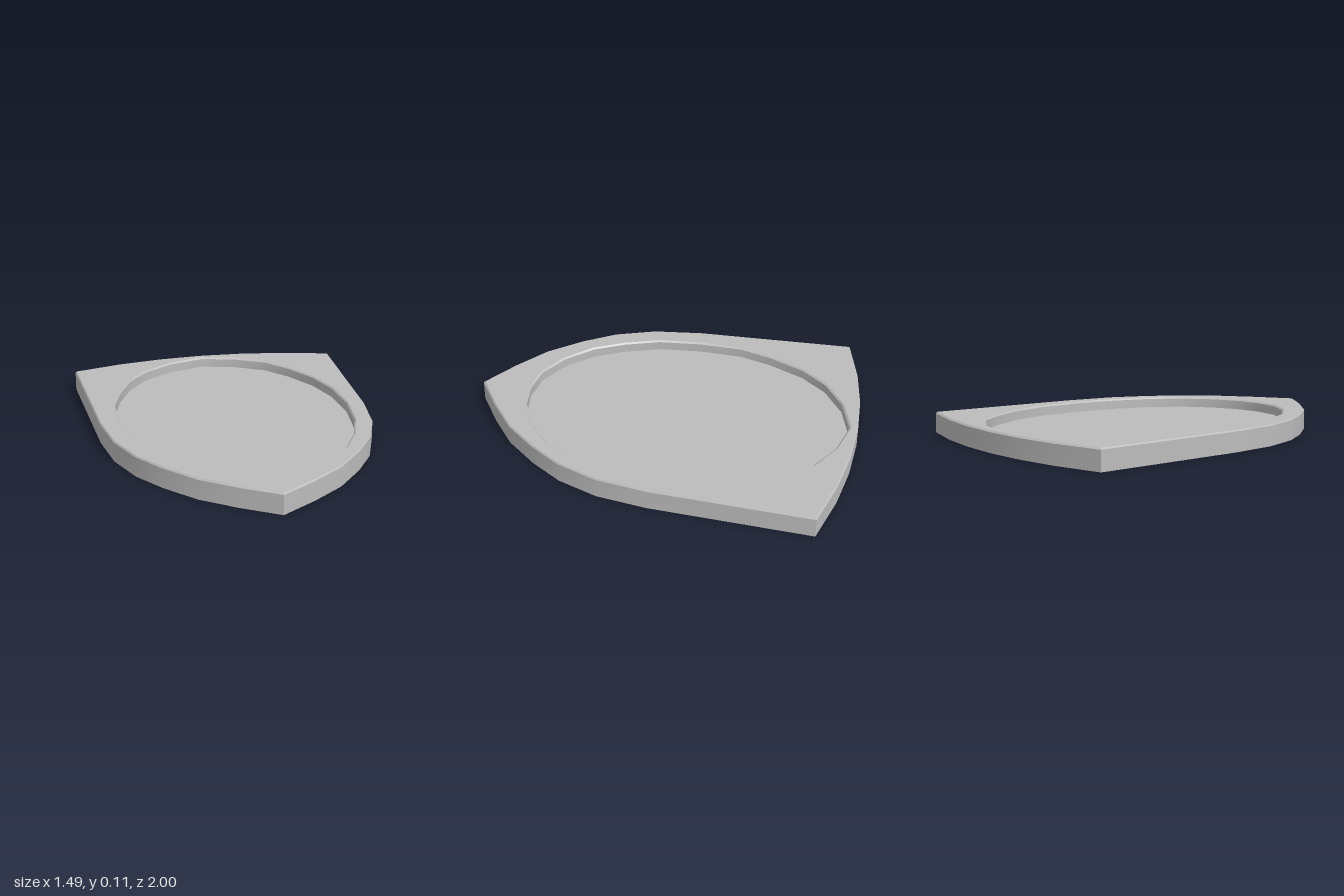
import * as THREE from 'three';
import { toCreasedNormals } from 'three/addons/utils/BufferGeometryUtils.js';

const HEIGHT = 0.11, BEVEL = 0.008, FLOOR = 0.055;

// Half outline of the shield as [x, z], from back centre to front tip
const HALF = [
  [0, -1], [0.24, -0.987], [0.48, -0.95], [0.747, -0.88], [0.712, -0.05], [0.676, 0.21],
  [0.598, 0.42], [0.49, 0.585], [0.35, 0.75], [0.183, 0.88], [0, 1],
];

// Oval recess as [x, z], slightly irregular
const OVAL = [
  [0, -0.955], [0.185, -0.907], [0.35, -0.81], [0.455, -0.675], [0.55, -0.5], [0.605, -0.305],
  [0.62, -0.065], [0.59, 0.17], [0.53, 0.36], [0.44, 0.525], [0.29, 0.65], [0.14, 0.717],
  [0, 0.738], [-0.15, 0.717], [-0.3, 0.635], [-0.43, 0.505], [-0.515, 0.345], [-0.58, 0.165],
  [-0.605, -0.065], [-0.6, -0.295], [-0.55, -0.465], [-0.465, -0.655], [-0.355, -0.79], [-0.195, -0.897],
];

const resize = (points, s, cz = 0) => points.map(([x, z]) => [x * s, cz + (z - cz) * s]);
const toPlane = (points) => points.map(([x, z]) => new THREE.Vector2(x, -z));

// Wall through a stack of closed rings, each { points, y }
function wall(rings) {
  const n = rings[0].points.length, pos = [], index = [];
  for (const { points, y } of rings) for (const [x, z] of points) pos.push(x, y, z);
  for (let j = 0; j < rings.length - 1; j++) {
    for (let i = 0; i < n; i++) {
      const a = j * n + i, b = j * n + (i + 1) % n;
      index.push(a, a + n, b, b, a + n, b + n);
    }
  }
  const geo = new THREE.BufferGeometry();
  geo.setAttribute('position', new THREE.Float32BufferAttribute(pos, 3));
  geo.setIndex(index);
  return toCreasedNormals(geo, 0.6);
}

// Flat upward-facing plate at height y
function plate(points, y, hole) {
  const shape = new THREE.Shape(toPlane(points));
  if (hole) shape.holes.push(new THREE.Path(toPlane(hole)));
  return new THREE.ShapeGeometry(shape).rotateX(-Math.PI / 2).translate(0, y, 0);
}

export function createModel() {
  const group = new THREE.Group();
  group.name = 'shieldTray';
  const grey = new THREE.MeshStandardMaterial({ color: 0xbcbcbc, side: THREE.DoubleSide });
  grey.name = 'grey';

  const add = (name, geometry) => {
    const mesh = new THREE.Mesh(geometry, grey);
    mesh.name = name;
    group.add(mesh);
  };

  const mirrored = HALF.slice(1, -1).reverse().map(([x, z]) => [-x, z]);
  const outline = [...HALF, ...mirrored];
  const topOutline = resize(outline, 1 - BEVEL);
  const rim = resize(OVAL, 1 + BEVEL * 1.5, -0.1);

  // Thin shell, open underneath
  add('outerWall', wall([
    { points: outline, y: 0 },
    { points: outline, y: HEIGHT - BEVEL },
    { points: topOutline, y: HEIGHT },
  ]));
  add('topPlate', plate(topOutline, HEIGHT, rim));

  // Sunken oval
  add('recessWall', wall([
    { points: rim, y: HEIGHT },
    { points: OVAL, y: HEIGHT - BEVEL },
    { points: OVAL, y: FLOOR },
  ]));
  add('recessFloor', plate(OVAL, FLOOR));

  return group;
}
